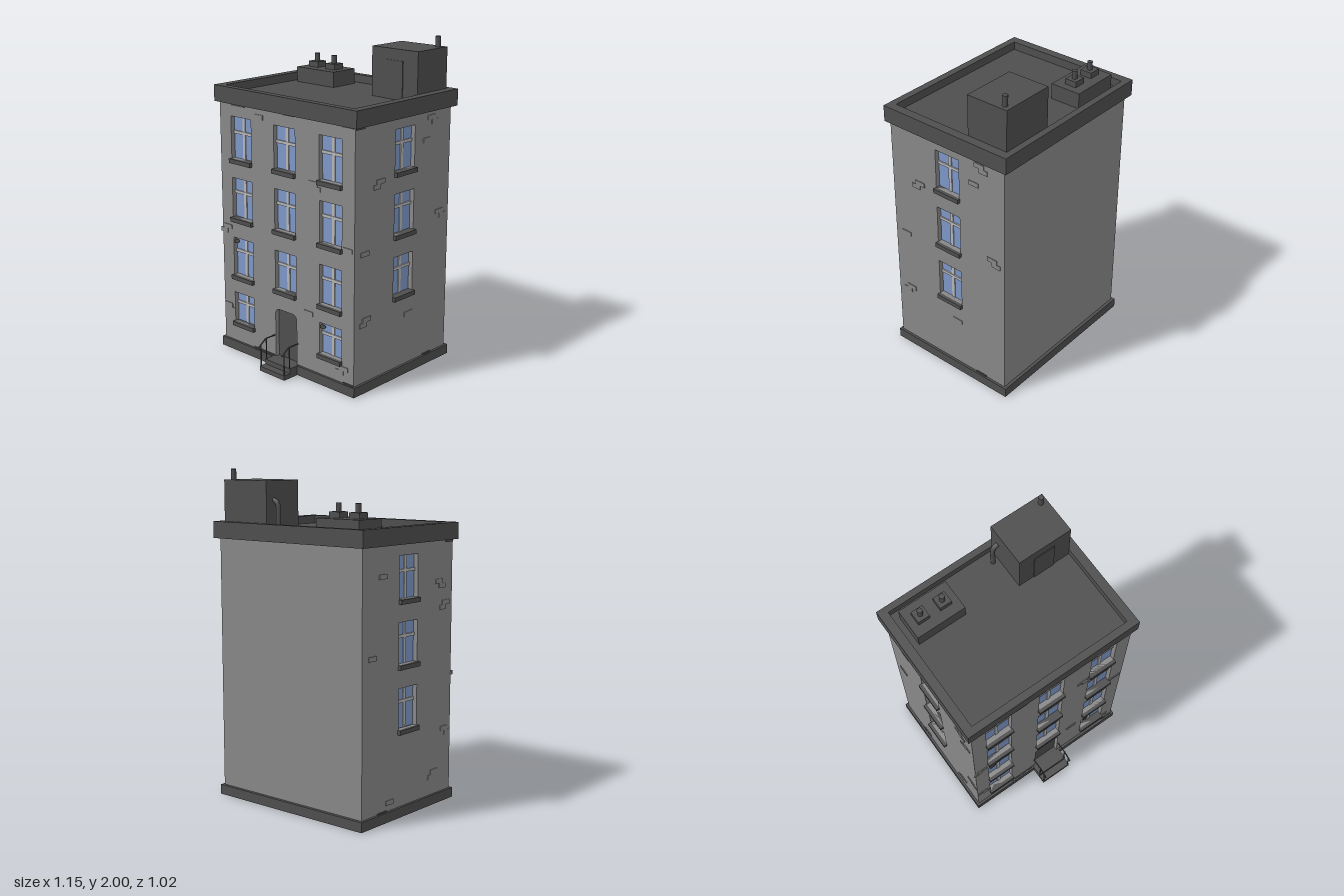
import * as THREE from 'three';

const mat = (name, color) => {
  const m = new THREE.MeshStandardMaterial({ color });
  m.name = name;
  return m;
};

export function createModel() {
  const wall = mat('grey plaster', 0x888888);
  const dark = mat('dark stone', 0x4e4e4e);
  const glass = mat('blue glass', 0x7e97c8);
  const frame = mat('pale window frame', 0xb6b6b8);
  const model = new THREE.Group();
  model.name = 'apartmentBlock';

  const add = (parent, name, geo, material, x = 0, y = 0, z = 0) => {
    const m = new THREE.Mesh(geo, material);
    m.name = name;
    m.position.set(x, y, z);
    parent.add(m);
    return m;
  };
  // Box given by its minimum and maximum corners
  const box = (parent, name, material, x0, x1, y0, y1, z0, z1) =>
    add(parent, name, new THREE.BoxGeometry(x1 - x0, y1 - y0, z1 - z0), material,
      (x0 + x1) / 2, (y0 + y1) / 2, (z0 + z1) / 2);
  const rectPoints = (x0, x1, y0, y1) =>
    [[x0, y0], [x1, y0], [x1, y1], [x0, y1]].map(p => new THREE.Vector2(...p));
  const tube = (parent, name, points, r) => {
    const path = new THREE.CurvePath();
    for (let i = 1; i < points.length; i++)
      path.add(new THREE.LineCurve3(new THREE.Vector3(...points[i - 1]), new THREE.Vector3(...points[i])));
    path.curves.forEach(c => add(parent, name, new THREE.TubeGeometry(c, 1, r, 6), dark));
  };

  const BOTTOM = 0.06, TOP = 1.59, DEPTH = 0.033;

  // One window set into its opening: pane, cross bars and sill
  const addWindow = (parent, { x, y0, y1, bar }) => {
    const g = new THREE.Group();
    g.name = 'window';
    parent.add(g);
    box(g, 'pane', glass, x - 0.087, x + 0.087, y0, y1, -DEPTH, -DEPTH + 0.004);
    box(g, 'verticalBar', frame, x - 0.011, x + 0.011, y0, y1, -DEPTH, -DEPTH + 0.009);
    box(g, 'crossBar', frame, x - 0.087, x + 0.087, bar - 0.009, bar + 0.009, -DEPTH, -DEPTH + 0.012);
    box(g, 'sill', dark, x - 0.092, x + 0.092, y0 - 0.027, y0, -DEPTH, 0.021);
  };

  // A facade in its own plane: pierced wall, windows, loose bricks and dark wear strips
  const facade = (name, outline, windows, bricks, strips) => {
    const g = new THREE.Group();
    g.name = name;
    const shape = new THREE.Shape(outline);
    windows.forEach(w => shape.holes.push(
      new THREE.Path(rectPoints(w.x - 0.087, w.x + 0.087, w.y0, w.y1).reverse())));
    const geo = new THREE.ExtrudeGeometry(shape, { depth: DEPTH, bevelEnabled: false });
    add(g, 'piercedWall', geo, wall, 0, 0, -DEPTH);
    windows.forEach(w => addWindow(g, w));
    bricks.forEach(([x, y], i) => {
      const s = i % 2 ? 1 : -1;
      box(g, 'raisedBrick', wall, x - 0.035, x + 0.035, y - 0.014, y + 0.014, -0.002, 0.005);
      if (i % 3) box(g, 'raisedBrick', wall, x + s * 0.03 - 0.03, x + s * 0.03 + 0.03, y - 0.042, y - 0.014, -0.002, 0.005);
    });
    strips.forEach(([x0, x1, y0, y1]) => box(g, 'wornEdge', dark, x0, x1, y0, y1, -0.002, 0.005));
    model.add(g);
    return g;
  };

  // Solid core behind the three pierced walls
  box(model, 'wallCore', wall, -0.55 + DEPTH, 0.55 - DEPTH, BOTTOM, TOP, -0.48, 0.365 - DEPTH);

  // Front facade with the door opening in its outline
  const doorEdge = [[-0.09, 0.06], [-0.09, 0.345], [-0.083, 0.363], [-0.065, 0.375],
    [0.065, 0.375], [0.083, 0.363], [0.09, 0.345], [0.09, 0.06]];
  const toVec = pts => pts.map(p => new THREE.Vector2(...p));
  const frontOutline = toVec([[-0.55, BOTTOM], ...doorEdge, [0.55, BOTTOM], [0.55, TOP], [-0.55, TOP]]);
  const frontWindows = [];
  const rows = [[0.193, 0.387, 0.318], [0.504, 0.748, 0.66], [0.879, 1.13, 1.038], [1.251, 1.512, 1.412]];
  rows.forEach(([y0, y1, bar], r) => [-0.367, 0, 0.366].forEach(x => {
    if (r > 0 || x !== 0) frontWindows.push({ x, y0, y1, bar });
  }));
  const front = facade('frontFacade', frontOutline, frontWindows,
    [[-0.21, 1.54], [0.23, 1.22], [-0.5, 0.81], [0.19, 0.42], [0.47, 0.15], [-0.51, 0.29], [0.5, 0.88]],
    [[-0.28, -0.1, 0.06, 0.068], [0.47, 0.55, 0.06, 0.068], [-0.45, -0.33, 1.578, 1.59],
      [0, 0.08, 1.582, 1.59], [0.46, 0.54, 1.582, 1.59]]);
  front.position.z = 0.365;
  add(front, 'door', new THREE.ExtrudeGeometry(new THREE.Shape(toVec(doorEdge)),
    { depth: 0.006, bevelEnabled: false }), dark, 0, 0, -DEPTH);
  // Dark chips at two window corners
  [[-0.42, 0.729], [0.31, 0.367]].forEach(([x, y]) => {
    const chip = toVec([[-0.02, -0.012], [0.012, -0.01], [0.022, 0.004], [0.01, 0.015], [-0.012, 0.012], [-0.024, 0.002]]);
    add(front, 'chip', new THREE.ExtrudeGeometry(new THREE.Shape(chip),
      { depth: 0.005, bevelEnabled: false }), dark, x, y, -0.002);
  });

  // Side facades; in their plane x runs along s * z
  const sideBricks = {
    1: [[-0.26, 1.42], [-0.39, 0.96], [0.26, 0.45], [-0.115, 0.38], [0.15, 1.25], [-0.3, 1.55], [0.28, 0.85]],
    '-1': [[-0.39, 0.97], [0.23, 1.35], [0.2, 0.2], [-0.23, 0.11], [0.3, 1.22], [0.3, 0.45], [-0.3, 1.42]],
  };
  [1, -1].forEach(side => {
    const f = z => -side * z;
    const span = (a, b) => [Math.min(f(a), f(b)), Math.max(f(a), f(b))];
    const windows = [[0.52, 0.763, 0.679], [0.9, 1.146, 1.06], [1.277, 1.526, 1.437]]
      .map(([y0, y1, bar]) => ({ x: f(-0.063), y0, y1, bar }));
    const g = facade(side > 0 ? 'leftFacade' : 'rightFacade',
      rectPoints(...span(-0.48, 0.365 - DEPTH), BOTTOM, TOP), windows,
      sideBricks[side].map(([z, y]) => [f(z), y]),
      [[...span(-0.34, -0.26), 0.06, 0.068], [...span(0.29, 0.36), 1.575, 1.59]]);
    g.rotation.y = side * Math.PI / 2;
    g.position.x = side * 0.55;
  });

  // Plinth, cornice with parapet, and sunken roof
  box(model, 'plinth', dark, -0.565, 0.565, 0, BOTTOM, -0.5, 0.38);
  const parapet = new THREE.Shape(rectPoints(-0.577, 0.577, -0.385, 0.51));
  parapet.holes.push(new THREE.Path(rectPoints(-0.522, 0.522, -0.34, 0.47).reverse()));
  add(model, 'parapet', new THREE.ExtrudeGeometry(parapet, { depth: 0.1, bevelEnabled: false }),
    dark, 0, TOP, 0).rotation.x = -Math.PI / 2;
  box(model, 'roof', dark, -0.522, 0.522, TOP, 1.64, -0.47, 0.34);

  // Roof hut with door, chimney and bent vent pipe
  box(model, 'roofHut', dark, 0.175, 0.521, 1.64, 1.937, -0.469, -0.198);
  box(model, 'roofHutDoor', dark, 0.275, 0.412, 1.64, 1.87, -0.199, -0.193);
  const stack = (name, x, z, y0, y1) =>
    add(model, name, new THREE.CylinderGeometry(0.016, 0.016, y1 - y0, 16), dark, x, (y0 + y1) / 2, z);
  stack('hutChimney', 0.484, -0.427, 1.93, 2);
  const bend = new THREE.CatmullRomCurve3([[0.14, 1.64], [0.14, 1.7], [0.14, 1.775], [0.15, 1.81], [0.178, 1.826]]
    .map(([x, y]) => new THREE.Vector3(x, y, -0.405)));
  add(model, 'ventPipe', new THREE.TubeGeometry(bend, 20, 0.0145, 8), dark);

  // Chimney block with two pots
  box(model, 'chimneyBlock', dark, -0.481, -0.167, 1.64, 1.735, -0.425, -0.23);
  [-0.397, -0.252].forEach(x => {
    box(model, 'potBase', dark, x - 0.038, x + 0.038, 1.735, 1.77, -0.366, -0.291);
    stack('chimneyPot', x, -0.328, 1.77, 1.82);
  });

  // Entrance steps and handrails
  box(model, 'lowerStep', dark, -0.106, 0.106, 0, 0.03, 0.36, 0.49);
  box(model, 'upperStep', dark, -0.106, 0.106, 0.03, 0.061, 0.36, 0.443);
  [-0.099, 0.099].forEach(x => {
    tube(model, 'handrail', [[x, 0.197, 0.36], [x, 0.197, 0.445], [x, 0.155, 0.503]], 0.0045);
    tube(model, 'railPost', [[x, 0.05, 0.438], [x, 0.197, 0.438]], 0.004);
    tube(model, 'railPost', [[x, 0.02, 0.483], [x, 0.17, 0.483]], 0.004);
  });

  return model;
}
